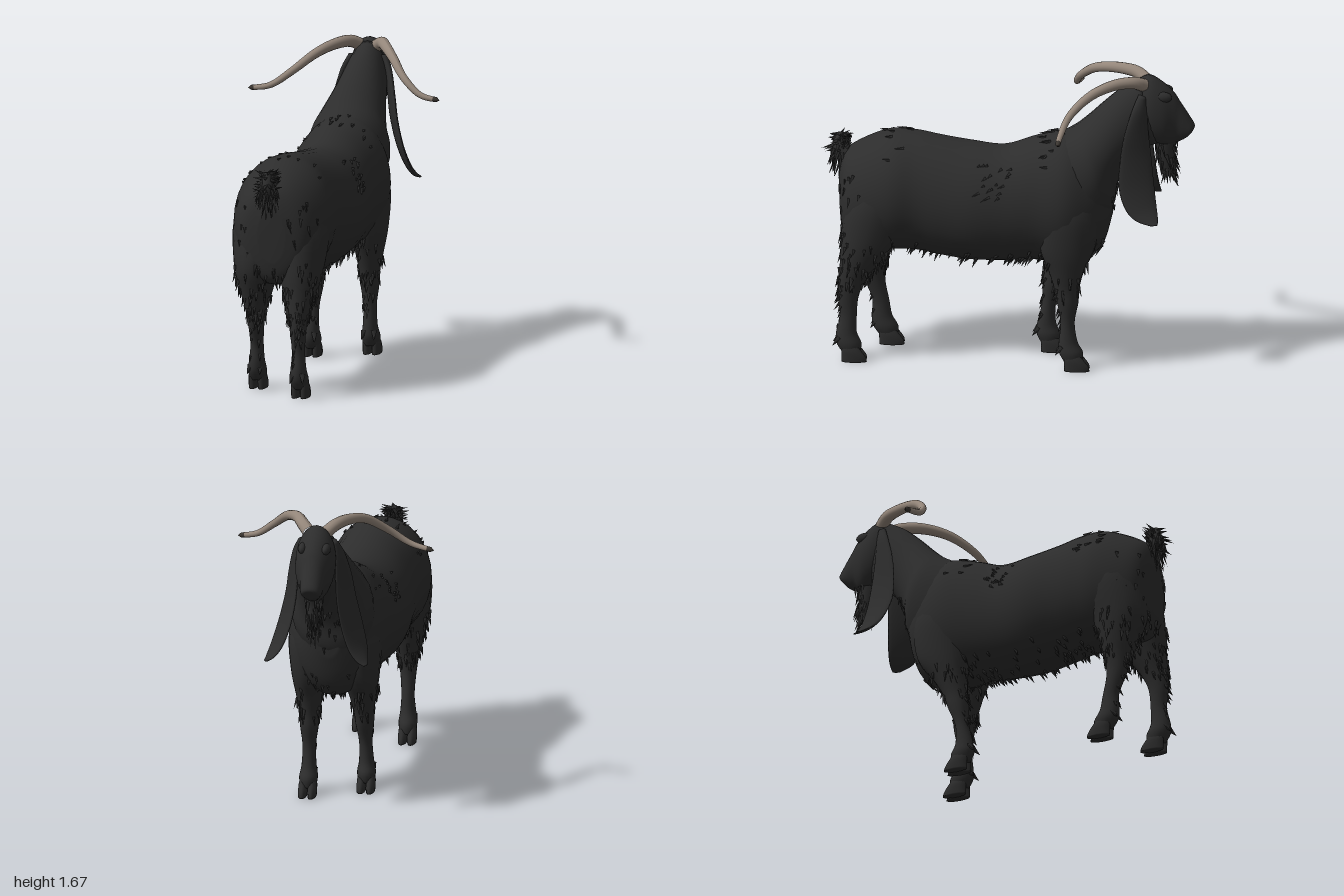
import * as THREE from 'three';
import { mergeGeometries } from 'three/addons/utils/BufferGeometryUtils.js';

const coat = new THREE.MeshStandardMaterial({ color: 0x2d2d2d });
coat.name = 'black coat';
const hornMat = new THREE.MeshStandardMaterial({ color: 0x94867a });
hornMat.name = 'horn';
const hornTipMat = new THREE.MeshStandardMaterial({ color: 0x3b3631 });
hornTipMat.name = 'dark horn tip';

let seed = 7;
const rand = (a = 0, b = 1) => {
  seed = (seed * 16807) % 2147483647;
  return a + (b - a) * seed / 2147483647;
};

// Smooth interpolation through stations; u runs 0..1.
function sample(st, u) {
  const n = st.length - 1, k = Math.min(Math.floor(u * n), n - 1), f = u * n - k;
  const p = [st[Math.max(k - 1, 0)], st[k], st[k + 1], st[Math.min(k + 2, n)]];
  return st[0].map((_, c) => {
    const [a, b, d, e] = p.map((s) => s[c]);
    const m0 = (d - a) / 2, m1 = (e - b) / 2;
    return b + m0 * f + (3 * (d - b) - 2 * m0 - m1) * f * f + (2 * (b - d) + m0 + m1) * f ** 3;
  });
}

// Station: [x centre, y1, z1, y2, z2, half width in x, optional x skew];
// the ring spans point 1 to point 2.
function ringPoint(st, u, angle) {
  const [x, y1, z1, y2, z2, w, skew = 0] = sample(st, u);
  const c = Math.cos(angle), s = Math.sin(angle);
  return new THREE.Vector3(x + w * s + skew * c,
    (y1 + y2 + (y1 - y2) * c) / 2, (z1 + z2 + (z1 - z2) * c) / 2);
}

// Closed loft through the stations with capped ends.
function loft(name, st, sides = 20, per = 4) {
  const rows = (st.length - 1) * per, pts = [], idx = [];
  for (let r = 0; r <= rows; r++)
    for (let i = 0; i < sides; i++) pts.push(ringPoint(st, r / rows, i / sides * Math.PI * 2));
  const at = (r, i) => r * sides + i % sides;
  for (let r = 0; r < rows; r++)
    for (let i = 0; i < sides; i++)
      idx.push(at(r, i), at(r, i + 1), at(r + 1, i), at(r, i + 1), at(r + 1, i + 1), at(r + 1, i));
  for (const r of [0, rows]) {
    const [x, y1, z1, y2, z2] = sample(st, r / rows);
    const c = pts.push(new THREE.Vector3(x, (y1 + y2) / 2, (z1 + z2) / 2)) - 1;
    for (let i = 0; i < sides; i++)
      idx.push(c, ...(r ? [at(r, i), at(r, i + 1)] : [at(r, i + 1), at(r, i)]));
  }
  // turn the faces outward
  let volume = 0;
  const cross = new THREE.Vector3();
  for (let i = 0; i < idx.length; i += 3)
    volume += cross.crossVectors(pts[idx[i + 1]], pts[idx[i + 2]]).dot(pts[idx[i]]);
  if (volume < 0) idx.reverse();
  const g = new THREE.BufferGeometry().setFromPoints(pts);
  g.setIndex(idx);
  g.computeVertexNormals();
  const m = new THREE.Mesh(g, coat);
  m.name = name;
  return m;
}

// One pointed lock of hair
const UP = new THREE.Vector3(0, 1, 0);
function lock(p, dir, len, r = 0.011) {
  const g = new THREE.ConeGeometry(r, len, 3, 1).translate(0, len * 0.4, 0);
  g.applyQuaternion(new THREE.Quaternion().setFromUnitVectors(UP, dir.clone().normalize()));
  return g.translate(p.x, p.y, p.z);
}

// Locks scattered over part of a loft, following a flow direction
function fur(st, count, [u0, u1], [a0, a1], flow, len, lift = 0.25) {
  return Array.from({ length: count }, () => {
    const u = rand(u0, u1), p = ringPoint(st, u, rand(a0, a1) * Math.PI);
    const [x, y1, z1, y2, z2] = sample(st, u);
    const out = p.clone().sub(new THREE.Vector3(x, (y1 + y2) / 2, (z1 + z2) / 2)).normalize();
    const dir = new THREE.Vector3(...flow).addScaledVector(out, lift)
      .add(new THREE.Vector3(rand(-0.15, 0.15), rand(-0.1, 0.1), rand(-0.2, 0.2)));
    return lock(p, dir, len * rand(0.6, 1.2));
  });
}

const trunk = [
  [-0.1, 1.02, 0.91, 0.74, 0.9, 0.07], [-0.1, 1.13, 0.88, 0.64, 0.875, 0.165],
  [-0.098, 1.195, 0.8, 0.6, 0.8, 0.228], [-0.093, 1.26, 0.64, 0.6, 0.64, 0.272],
  [-0.087, 1.26, 0.5, 0.6, 0.5, 0.26], [-0.07, 1.24, 0.37, 0.58, 0.37, 0.26],
  [-0.055, 1.215, 0.2, 0.56, 0.2, 0.27], [-0.035, 1.205, 0.02, 0.565, 0.02, 0.25],
  [-0.022, 1.26, -0.14, 0.575, -0.14, 0.247], [0, 1.305, -0.3, 0.57, -0.3, 0.258],
  [0.003, 1.27, -0.42, 0.59, -0.42, 0.222], [0.005, 1.2, -0.51, 0.68, -0.51, 0.16],
  [0.005, 1.1, -0.57, 0.85, -0.56, 0.07],
];
const neck = [
  [-0.01, 1.22, -0.13, 0.7, -0.44, 0.2], [0, 1.32, -0.33, 0.88, -0.56, 0.222],
  [0.005, 1.39, -0.42, 1.02, -0.585, 0.185], [0.02, 1.48, -0.51, 1.13, -0.635, 0.15],
  [0.03, 1.57, -0.61, 1.22, -0.71, 0.122], [0.035, 1.63, -0.71, 1.26, -0.8, 0.102],
];
const head = [
  [0.035, 1.59, -0.66, 1.33, -0.72, 0.08], [0.035, 1.645, -0.745, 1.27, -0.78, 0.107],
  [0.035, 1.61, -0.82, 1.25, -0.84, 0.103], [0.035, 1.55, -0.885, 1.25, -0.875, 0.08],
  [0.035, 1.495, -0.92, 1.265, -0.895, 0.068], [0.035, 1.42, -0.967, 1.275, -0.92, 0.06],
  [0.035, 1.365, -0.998, 1.295, -0.95, 0.048], [0.035, 1.34, -0.99, 1.315, -0.97, 0.02],
];
// the ear's rear edge flares outward
const ear = [
  [0.12, 1.56, -0.7, 1.55, -0.74, 0.02, 0], [0.15, 1.48, -0.665, 1.48, -0.745, 0.02, 0.015],
  [0.17, 1.35, -0.625, 1.35, -0.755, 0.018, 0.03], [0.185, 1.22, -0.605, 1.22, -0.77, 0.017, 0.037],
  [0.215, 1.08, -0.6, 1.08, -0.785, 0.017, 0.04], [0.25, 0.97, -0.635, 0.97, -0.8, 0.018, 0.035],
  [0.28, 0.91, -0.69, 0.91, -0.81, 0.018, 0.02], [0.303, 0.885, -0.765, 0.885, -0.81, 0.01, 0.005],
];
const beard = [
  [0.035, 1.31, -0.78, 1.31, -0.92, 0.05], [0.035, 1.23, -0.79, 1.24, -0.895, 0.042],
  [0.035, 1.15, -0.815, 1.15, -0.89, 0.03], [0.035, 1.07, -0.85, 1.07, -0.88, 0.01],
];
const tail = [
  [-0.1, 1.15, 0.81, 1.05, 0.85, 0.035], [-0.115, 1.17, 0.86, 1.09, 0.93, 0.04],
  [-0.12, 1.2, 0.88, 1.16, 0.95, 0.035], [-0.12, 1.23, 0.88, 1.235, 0.92, 0.015],
];
// Leg profiles: [height, back z, front z, half width]
const hind = [
  [0.05, 0.89, 0.79, 0.042], [0.1, 0.92, 0.785, 0.05], [0.16, 0.92, 0.81, 0.042],
  [0.25, 0.9, 0.81, 0.035], [0.36, 0.912, 0.8, 0.043], [0.45, 0.91, 0.76, 0.058],
  [0.56, 0.9, 0.68, 0.09], [0.7, 0.895, 0.59, 0.122], [0.9, 0.865, 0.52, 0.14],
  [1.08, 0.79, 0.56, 0.09],
];
const fore = [
  [0.05, -0.3, -0.4, 0.042], [0.1, -0.275, -0.405, 0.05], [0.16, -0.275, -0.375, 0.04],
  [0.27, -0.285, -0.36, 0.036], [0.38, -0.265, -0.38, 0.05], [0.46, -0.25, -0.385, 0.056],
  [0.56, -0.22, -0.41, 0.075], [0.7, -0.17, -0.47, 0.1], [0.9, -0.17, -0.49, 0.11],
  [1.08, -0.22, -0.44, 0.06],
];

export function createModel() {
  const goat = new THREE.Group();
  goat.name = 'goat';
  const locks = [];
  goat.add(loft('trunk', trunk, 32, 5), loft('neck', neck, 24), loft('head', head, 24),
    loft('beard', beard, 12), loft('tail', tail, 12));

  // Legs: x at the foot, x at the top, z shift of the planted foot
  const legs = [
    ['leftHindLeg', hind, 0.045, 0.025, 0], ['rightHindLeg', hind, -0.235, -0.215, -0.19],
    ['leftForeLeg', fore, 0.145, 0.14, 0], ['rightForeLeg', fore, -0.15, -0.135, 0.135],
  ];
  for (const [name, profile, foot, top, shift] of legs) {
    const st = profile.map(([y, back, front, w]) => {
      const x = foot + (top - foot) * Math.min(y / 0.8, 1);
      const dz = shift * Math.max(0, 1 - (y / 0.65) ** 2);
      return [x, y, back + dz, y, front + dz, w];
    });
    const leg = new THREE.Group();
    leg.name = name;
    leg.add(loft('limb', st, 18));
    // cloven hoof with dewclaws
    const heel = (profile === hind ? 0.89 : -0.305) + shift;
    for (const s of [-1, 1]) {
      const x = foot + s * 0.025;
      leg.add(loft('toe', [
        [x, 0, heel, 0, heel - 0.135, 0.023], [x, 0.03, heel, 0.025, heel - 0.13, 0.025],
        [x, 0.07, heel, 0.06, heel - 0.105, 0.024], [x, 0.11, heel - 0.01, 0.1, heel - 0.075, 0.012],
      ], 12, 3));
      locks.push(lock(new THREE.Vector3(x, 0.13, heel + 0.015), new THREE.Vector3(s * 0.2, -0.8, 0.7), 0.06, 0.02));
    }
    goat.add(leg);
    // feathering on thighs, elbows and the backs of the shanks
    locks.push(...fur(st, profile === hind ? 90 : 30, [0.52, profile === hind ? 0.8 : 0.72], [0, 2], [0, -1, 0.1], 0.06, 0.15));
    locks.push(...fur(st, 16, [0.25, 0.55], [-0.3, 0.3], [0, -1, 0.3], 0.045));
  }

  // Drooping ears, mirrored about the head's middle
  goat.add(loft('leftEar', ear, 16));
  goat.add(loft('rightEar', ear.map(([x, y1, z1, y2, z2, w, skew]) => [0.07 - x, y1, z1, y2, z2, w, -skew]), 16));

  // Brow ridges, nearly flush with the skull
  for (const s of [-1, 1]) {
    const brow = new THREE.Mesh(new THREE.SphereGeometry(1, 14, 10), coat);
    brow.name = 'brow';
    brow.scale.set(0.025, 0.03, 0.05);
    brow.position.set(0.035 + s * 0.063, 1.54, -0.83);
    goat.add(brow);
  }

  // Sweeping horns, tapered toward the tip
  const hornPaths = {
    leftHorn: [[0.08, 1.6, -0.73], [0.12, 1.628, -0.68], [0.165, 1.632, -0.58], [0.24, 1.595, -0.45],
      [0.33, 1.51, -0.34], [0.43, 1.435, -0.295], [0.535, 1.415, -0.285]],
    rightHorn: [[-0.01, 1.6, -0.74], [-0.05, 1.628, -0.69], [-0.11, 1.632, -0.58], [-0.19, 1.6, -0.46],
      [-0.3, 1.515, -0.375], [-0.41, 1.44, -0.35], [-0.54, 1.412, -0.375]],
  };
  for (const [name, path] of Object.entries(hornPaths)) {
    const curve = new THREE.CatmullRomCurve3(path.map((p) => new THREE.Vector3(...p)));
    const seg = 40, sides = 14, g = new THREE.TubeGeometry(curve, seg, 0.035, sides);
    const pos = g.attributes.position, v = new THREE.Vector3();
    for (let i = 0; i < pos.count; i++) {
      const t = Math.floor(i / (sides + 1)) / seg, c = curve.getPointAt(t);
      v.fromBufferAttribute(pos, i).sub(c).multiplyScalar(t === 1 ? 0.01 : 1 - 0.62 * t).add(c);
      pos.setXYZ(i, v.x, v.y, v.z);
    }
    g.computeVertexNormals();
    const split = 38 * sides * 6;
    g.addGroup(0, split, 0);
    g.addGroup(split, g.index.count - split, 1);
    const horn = new THREE.Mesh(g, [hornMat, hornTipMat]);
    horn.name = name;
    goat.add(horn);
  }

  // Shaggy coat: belly, rump, patches on loin and withers, chest, beard and tail tuft
  locks.push(
    ...fur(trunk, 130, [0.3, 0.92], [0.75, 1.25], [0, -0.8, 0.5], 0.05, 0.2),
    ...fur(trunk, 40, [0.02, 0.2], [0.3, 1.7], [0, -1, 0.1], 0.05, 0.15),
    ...fur(trunk, 18, [0.52, 0.62], [0.2, 0.4], [0, -0.6, 0.8], 0.05, 0.1),
    ...fur(trunk, 18, [0.52, 0.62], [-0.4, -0.2], [0, -0.6, 0.8], 0.05, 0.1),
    ...fur(trunk, 16, [0.24, 0.33], [-0.35, 0.35], [0, 0, 1], 0.05, 0.12),
    ...fur(trunk, 16, [0.68, 0.76], [-0.3, 0.3], [0, -0.1, 1], 0.05, 0.1),
    ...fur(neck, 18, [0.2, 0.6], [0.8, 1.2], [0, -1, 0.1], 0.05),
    ...fur(beard, 60, [0.1, 0.95], [0, 2], [0, -1, -0.1], 0.08, 0.2),
    ...fur(tail, 60, [0.3, 1], [0, 2], [0, 0.15, 0.1], 0.06, 0.8),
    ...fur(tail, 30, [0.2, 0.7], [0.5, 1.5], [0, -1, 0.1], 0.11, 0.3),
  );
  const shag = new THREE.Mesh(mergeGeometries(locks), coat);
  shag.name = 'shaggyHair';
  goat.add(shag);
  return goat;
}
